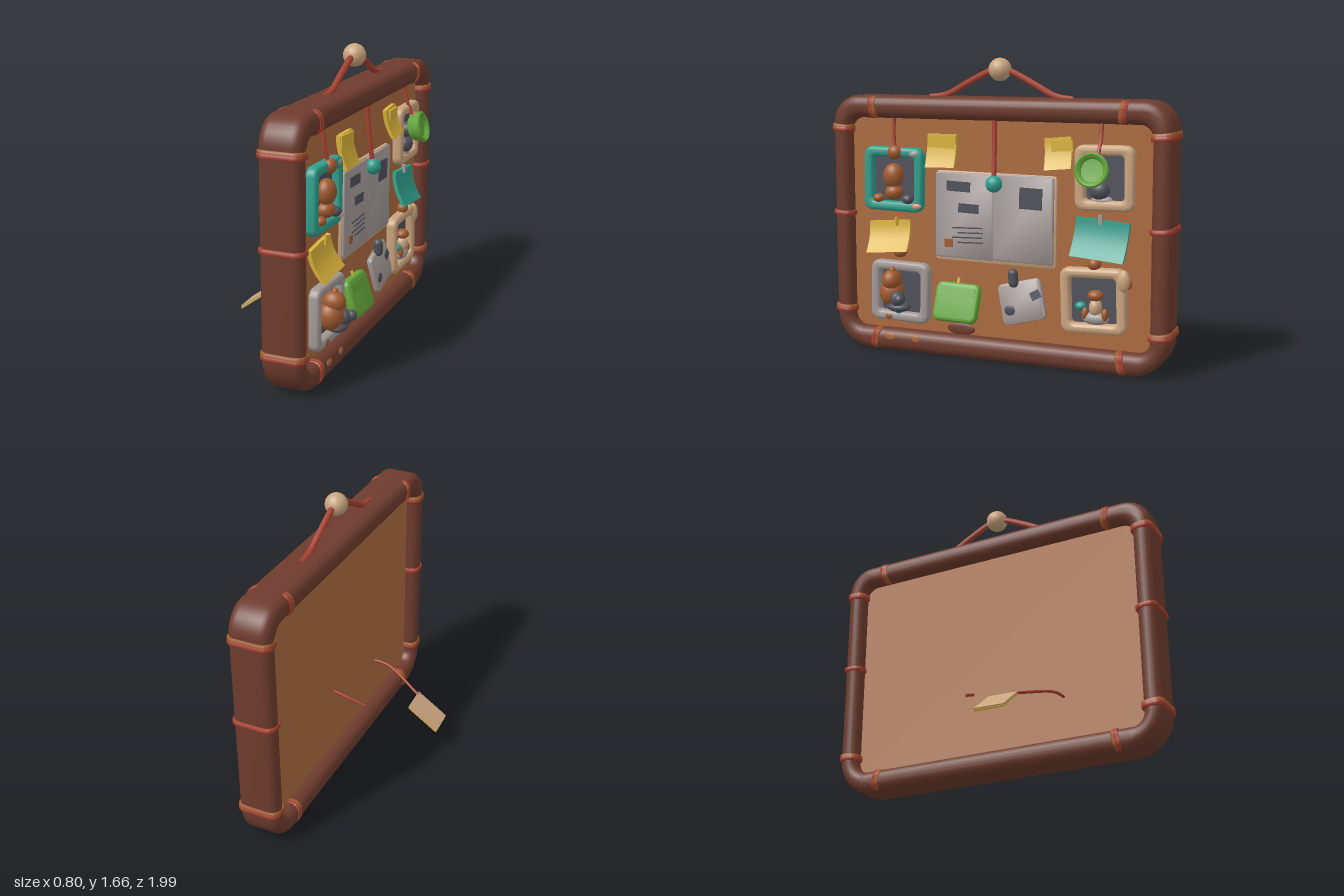
import * as THREE from 'three';
import { toCreasedNormals } from 'three/addons/utils/BufferGeometryUtils.js';

const mat = (name, color) => Object.assign(new THREE.MeshStandardMaterial({ color }), { name });
const M = {
  wood: mat('dark leather brown', 0x6d3b2d), cork: mat('cork', 0xab6a3d),
  red: mat('red cord', 0xa5402f), teal: mat('teal', 0x2f9f8c),
  green: mat('green', 0x64a63a), yellow: mat('yellow', 0xd9b23a),
  grey: mat('grey paper', 0xa39a97), slate: mat('slate', 0x50505a),
  beige: mat('beige', 0xc9a47e), clay: mat('clay brown', 0xa05a2e),
};

// Rounded rectangle outline centred on (0, 0), with top radius r and bottom radius b
function rounded(w, h, r, b = r, Type = THREE.Shape) {
  const s = new Type(), x = w / 2, y = h / 2;
  s.moveTo(-x + b, -y);
  s.lineTo(x - b, -y); s.absarc(x - b, -y + b, b, -Math.PI / 2, 0);
  s.lineTo(x, y - r); s.absarc(x - r, y - r, r, 0, Math.PI / 2);
  s.lineTo(-x + r, y); s.absarc(-x + r, y - r, r, Math.PI / 2, Math.PI);
  s.lineTo(-x, -y + b); s.absarc(-x + b, -y + b, b, Math.PI, Math.PI * 1.5);
  return s;
}

// Bevelled solid from z = 0 to z = depth, keeping the outline size
function slab(w, h, r, depth, bevel, hole, bottomR = r) {
  const inset = radius => Math.max(radius - bevel, 0.004);
  const s = rounded(w - 2 * bevel, h - 2 * bevel, inset(r), inset(bottomR));
  if (hole) s.holes.push(rounded(hole[0] + 2 * bevel, hole[1] + 2 * bevel, hole[2] + bevel, hole[2] + bevel, THREE.Path));
  const g = new THREE.ExtrudeGeometry(s, {
    depth: depth - 2 * bevel, bevelSize: bevel, bevelThickness: bevel, bevelSegments: 5, curveSegments: 10,
  });
  g.translate(0, 0, bevel);
  return toCreasedNormals(g, 0.8);
}

export function createModel() {
  // The board is built facing +z, then turned to face +x
  const board = new THREE.Group();
  board.name = 'noticeBoard';
  const FACE = 0.215, BACK = 0.12;

  function add(name, geo, material, x = 0, y = 0, z = 0, rz = 0, rx = 0, ry = 0) {
    const m = new THREE.Mesh(geo, material);
    m.name = name;
    m.position.set(x, y, z);
    m.rotation.set(rx, ry, rz);
    board.add(m);
    return m;
  }
  const box = (name, material, x, y, z, w, h, d, rz = 0, rx = 0) => add(name, new THREE.BoxGeometry(w, h, d), material, x, y, z, rz, rx);
  function ball(name, material, x, y, z, rx, ry = rx, rz = rx) {
    const m = add(name, new THREE.SphereGeometry(1, 20, 14), material, x, y, z);
    m.scale.set(rx, ry, rz);
    return m;
  }
  function cord(name, material, r, ...pts) {
    const curve = new THREE.CatmullRomCurve3(pts.map(p => new THREE.Vector3(...p)), false, 'centripetal');
    return add(name, new THREE.TubeGeometry(curve, 20, r, 8), material);
  }
  // Sheet whose lower edge curls away from the board
  function note(name, material, x, y, w, h, rot, curl) {
    const g = new THREE.BoxGeometry(w, h, 0.022, 6, 8, 1), p = g.attributes.position;
    for (let i = 0; i < p.count; i++) {
      const t = 0.5 - p.getY(i) / h, s = p.getX(i) / w;
      p.setZ(i, p.getZ(i) + curl * t * t + 0.012 * s * s);
    }
    g.computeVertexNormals();
    return add(name, g, material, x, y, FACE + 0.012, rot);
  }
  function pictureFrame(name, material, x, y, w, h, rot = 0) {
    add(name, slab(w, h, 0.05, 0.065, 0.022, [w - 0.11, h - 0.11, 0.02]), material, x, y, FACE - 0.005, rot);
    box(name + 'Backing', M.slate, x, y, FACE + 0.008, w - 0.06, h - 0.06, 0.012, rot);
  }

  // Main frame and cork panel, recessed on both sides
  add('outerFrame', slab(1.972, 1.45, 0.155, 0.235, 0.052, [1.76, 1.2, 0.07], 0.21), M.wood, 0, 0.735, 0.047);
  box('corkPanel', M.cork, 0, 0.74, (FACE + BACK) / 2, 1.8, 1.24, FACE - BACK);
  ball('corkStain', M.wood, -0.215, 0.165, FACE, 0.085, 0.035, 0.01);

  // Cord bindings around the frame, the outer ones with worn edges
  const band = slab(0.246, 0.126, 0.045, 0.03, 0.008).translate(0, 0, -0.015);
  const sideBand = band.clone().rotateZ(Math.PI / 2).rotateX(Math.PI / 2);
  const railBand = band.clone().rotateY(Math.PI / 2);
  for (const s of [-1, 1]) {
    for (const y of [1.27, 0.79, 0.23]) {
      add('sideBinding', sideBand, M.red, s * 0.932, y, 0.165, s * 0.06);
      if (y !== 0.79) add('sideBindingWear', sideBand, M.clay, s * 0.931, y + 0.012, 0.165, s * 0.1).scale.set(0.99, 1, 0.99);
    }
    for (const [y, tilt] of [[1.396, -0.13], [0.076, 0.2]]) {
      add('railBinding', railBand, M.red, s * 0.735, y, 0.165, s * tilt);
      add('railBindingWear', railBand, M.clay, s * 0.721, y, 0.165, s * tilt).scale.set(1, 0.99, 0.99);
    }
  }
  for (const [x, w] of [[-0.63, 0.033], [-0.47, 0.028]])
    ball('wornPatch', M.cork, x, 0.095, 0.28, w, 0.02, 0.006);

  // Hanging handle
  for (const s of [-1, 1])
    cord('handleCord', M.red, 0.018, [0, 1.62, 0.16], [s * 0.08, 1.59, 0.16], [s * 0.2, 1.53, 0.16], [s * 0.32, 1.468, 0.16], [s * 0.42, 1.452, 0.16]);
  ball('handleBead', M.beige, 0, 1.608, 0.16, 0.063);

  // Open booklet with pictures and printed lines
  add('bookletCover', slab(0.71, 0.5, 0.02, 0.022, 0.004), M.beige, 0, 0.802, FACE - 0.002, -0.01);
  for (const s of [-1, 1])
    add('bookletPage', slab(0.35, 0.475, 0.015, 0.026, 0.006), M.grey, s * 0.172 - 0.005, 0.81, FACE + 0.008, -0.01);
  const PAGE = FACE + 0.036;
  for (const [x, y, w, h] of [[-0.21, 0.972, 0.14, 0.055], [-0.15, 0.853, 0.12, 0.05], [0.215, 0.925, 0.13, 0.115]])
    box('bookletPicture', M.slate, x, y, PAGE, w, h, 0.008, -0.03);
  for (let i = 0; i < 4; i++)
    box('printedLine', M.slate, -0.16 + (i % 2) * 0.02, 0.745 - i * 0.027, PAGE, 0.18 - (i % 2) * 0.03, 0.007, 0.006, 0.03);
  box('bookletStain', M.clay, -0.27, 0.655, PAGE, 0.05, 0.045, 0.006);
  cord('bookletCord', M.red, 0.014, [0, 1.36, 0.235], [0.003, 1.2, 0.245], [0.008, 1.0, 0.27]);
  ball('bookletPin', M.teal, 0.01, 0.998, 0.272, 0.046, 0.046, 0.042);

  // Teal picture, upper left
  pictureFrame('tealFrame', M.teal, -0.607, 0.995, 0.365, 0.36, -0.02);
  ball('portraitHead', M.clay, -0.608, 1.015, 0.255, 0.06, 0.07, 0.052);
  ball('portraitBody', M.clay, -0.608, 0.922, 0.25, 0.052, 0.045, 0.05);
  ball('portraitPebble', M.clay, -0.7, 0.887, 0.26, 0.032, 0.025, 0.032);
  ball('portraitPebble', M.slate, -0.515, 0.887, 0.262, 0.035, 0.028, 0.034);
  ball('frameChip', M.beige, -0.46, 0.85, 0.268, 0.03, 0.018, 0.014);
  ball('frameChip', M.grey, -0.475, 1.14, 0.268, 0.03, 0.018, 0.013);
  cord('tealFrameCord', M.red, 0.011, [-0.61, 1.35, 0.235], [-0.608, 1.25, 0.245], [-0.595, 1.15, 0.26]);
  ball('tealFrameBead', M.clay, -0.592, 1.147, 0.268, 0.042, 0.04, 0.034);

  // Beige picture, upper right, with a flared green cup
  pictureFrame('upperBeigeFrame', M.beige, 0.627, 1.055, 0.325, 0.345, 0.01);
  ball('cupWearerHead', M.slate, 0.6, 0.99, 0.25, 0.055, 0.05, 0.045);
  ball('cupWearerNeck', M.slate, 0.595, 1.08, 0.26, 0.045, 0.045, 0.05);
  ball('cupWearerBody', M.grey, 0.61, 0.935, 0.24, 0.06, 0.03, 0.03);
  const cup = [[0, 0], [0.065, 0], [0.073, 0.012], [0.088, 0.06], [0.092, 0.074], [0.083, 0.082], [0.068, 0.074], [0.06, 0.06], [0, 0.056]]
    .map(p => new THREE.Vector2(...p));
  add('greenCup', toCreasedNormals(new THREE.LatheGeometry(cup, 28), 0.7), M.green, 0.59, 1.09, 0.291, 0, Math.PI / 2 - 0.23);
  cord('cupCord', M.red, 0.011, [0.605, 1.35, 0.235], [0.605, 1.25, 0.255], [0.6, 1.17, 0.29]);

  // Loose notes
  note('upperLeftNote', M.yellow, -0.312, 1.165, 0.175, 0.18, 0.02, 0.045);
  box('noteFlap', M.yellow, -0.312, 1.215, 0.243, 0.165, 0.07, 0.016, -0.03);
  note('upperRightNote', M.yellow, 0.37, 1.175, 0.15, 0.165, 0.1, 0.05);
  box('noteFlap', M.yellow, 0.39, 1.215, 0.243, 0.12, 0.06, 0.016, 0.05);
  note('lowerLeftNote', M.yellow, -0.638, 0.672, 0.255, 0.17, 0.08, 0.075);
  ball('noteBead', M.clay, -0.575, 0.585, 0.25, 0.042, 0.032, 0.035);
  cord('notePin', M.yellow, 0.01, [-0.6, 0.73, 0.243], [-0.595, 0.785, 0.248]);
  note('tealNote', M.teal, 0.608, 0.732, 0.295, 0.2, -0.08, 0.07);
  box('noteClip', M.grey, 0.605, 0.835, 0.243, 0.022, 0.05, 0.02);

  // Grey picture, lower left, with a raised figure
  pictureFrame('greyFrame', M.grey, -0.575, 0.357, 0.365, 0.345, -0.02);
  ball('sittingHead', M.clay, -0.605, 0.43, 0.295, 0.055, 0.06, 0.065);
  ball('sittingBody', M.clay, -0.615, 0.355, 0.28, 0.07, 0.08, 0.07);
  ball('sittingEar', M.clay, -0.6, 0.485, 0.3, 0.018, 0.02, 0.018);
  ball('sittingArm', M.slate, -0.555, 0.33, 0.325, 0.04, 0.045, 0.045);
  ball('sittingPaw', M.slate, -0.525, 0.335, 0.362, 0.03);
  ball('sittingLeg', M.slate, -0.56, 0.28, 0.3, 0.07, 0.03, 0.055);
  ball('sittingPouch', M.teal, -0.56, 0.262, 0.3, 0.022, 0.022, 0.03);
  ball('frameChip', M.clay, -0.64, 0.213, 0.267, 0.03, 0.018, 0.013);

  // Green pouch hanging outward at the bottom, and grey tag
  add('greenPouch', slab(0.265, 0.22, 0.04, 0.055, 0.02), M.green, -0.213, 0.318, 0.246, -0.02, -0.33);
  box('pouchFlap', M.green, -0.213, 0.385, 0.278, 0.225, 0.05, 0.014, -0.02, -0.33);
  cord('pouchPin', M.yellow, 0.009, [-0.215, 0.4, 0.26], [-0.215, 0.46, 0.235]);
  add('greyTag', slab(0.25, 0.225, 0.03, 0.035, 0.01), M.grey, 0.17, 0.36, 0.24, 0.25, -0.15);
  add('tagPeg', new THREE.CapsuleGeometry(0.027, 0.05, 6, 14), M.slate, 0.12, 0.49, 0.265, 0.08);
  ball('tagSpot', M.slate, 0.107, 0.312, 0.283, 0.03, 0.03, 0.008);
  add('tagMark', new THREE.BoxGeometry(0.055, 0.045, 0.008), M.slate, 0.25, 0.408, 0.269, 0.5, -0.15);

  // Beige picture, lower right
  pictureFrame('lowerBeigeFrame', M.beige, 0.572, 0.4, 0.365, 0.355, 0.03);
  ball('standingHead', M.clay, 0.583, 0.43, 0.25, 0.043, 0.03, 0.04);
  ball('standingBody', M.beige, 0.583, 0.365, 0.245, 0.035, 0.05, 0.04);
  ball('standingBase', M.grey, 0.583, 0.305, 0.245, 0.075, 0.035, 0.035);
  ball('standingBag', M.teal, 0.5, 0.367, 0.245, 0.03, 0.023, 0.028);
  for (const s of [-1, 1]) ball('standingArm', M.clay, 0.583 + s * 0.055, 0.33, 0.255, 0.018, 0.035, 0.022);
  ball('lowerFrameBead', M.clay, 0.575, 0.598, 0.25, 0.036, 0.034, 0.034);
  ball('frameKnot', M.beige, 0.74, 0.52, 0.262, 0.035, 0.06, 0.027);
  ball('frameKnotTail', M.clay, 0.77, 0.505, 0.255, 0.014, 0.025, 0.014);

  // Strings and tag hanging behind
  cord('backString', M.red, 0.008, [-0.42, 0.385, 0.14], [-0.405, 0.38, 0.02], [-0.285, 0.308, -0.23]);
  cord('backStub', M.red, 0.009, [0.14, 0.505, 0.14], [0.12, 0.462, 0.03], [0.1, 0.425, -0.05]);
  const tilt = Math.atan2(0.13, 0.18);
  for (const [name, m, off] of [['backTagTop', M.beige, 0.004], ['backTagUnderside', M.yellow, -0.005]]) {
    const g = new THREE.BoxGeometry(0.165, 0.01, 0.215).rotateX(-tilt);
    add(name, g, m, -0.23, 0.245 + off, -0.31, 0, 0, 0.04);
  }

  board.rotation.y = Math.PI / 2;
  const model = new THREE.Group();
  model.name = 'hangingNoticeBoard';
  model.add(board);
  return model;
}
